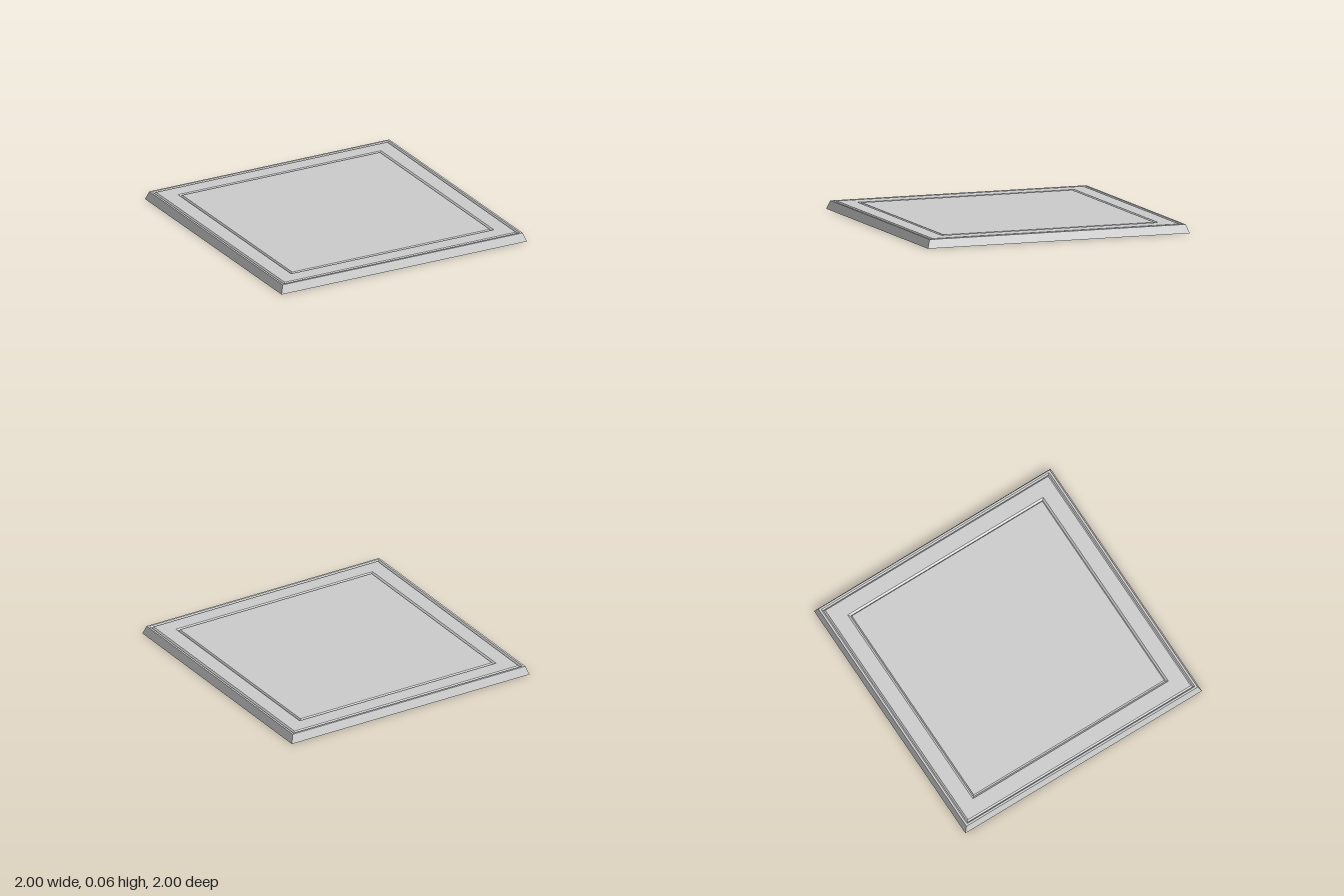
import * as THREE from 'three';

const material = new THREE.MeshStandardMaterial({
  color: 0xcccccc, flatShading: true, side: THREE.DoubleSide,
});

// Mitred square frame swept from a profile of [half width, height], outside to inside
function squareFrame(name, profile) {
  const corners = [[1, 1], [1, -1], [-1, -1], [-1, 1]];
  const positions = [];
  const point = ([x, z], [half, y]) => [x * half, y, z * half];
  for (let i = 0; i < profile.length - 1; i++) {
    for (let k = 0; k < 4; k++) {
      const a = point(corners[k], profile[i]);
      const b = point(corners[(k + 1) % 4], profile[i]);
      const c = point(corners[(k + 1) % 4], profile[i + 1]);
      const d = point(corners[k], profile[i + 1]);
      positions.push(...a, ...b, ...c, ...a, ...c, ...d);
    }
  }
  const geometry = new THREE.BufferGeometry();
  geometry.setAttribute('position', new THREE.Float32BufferAttribute(positions, 3));
  geometry.computeVertexNormals();
  const mesh = new THREE.Mesh(geometry, material);
  mesh.name = name;
  return mesh;
}

export function createModel() {
  const group = new THREE.Group();
  group.name = 'floorTile';
  const top = 0.062;
  const grooveDepth = 0.011;

  // Sloping sides, open underneath
  group.add(squareFrame('bevelledSkirt', [[1, 0], [0.978, top]]));

  // Flat rim, outer groove, border, inner groove
  group.add(squareFrame('rim', [[0.978, top], [0.963, top]]));
  group.add(squareFrame('outerGroove', [[0.963, top], [0.953, top - grooveDepth], [0.942, top]]));
  group.add(squareFrame('border', [[0.942, top], [0.827, top]]));
  group.add(squareFrame('innerGroove', [[0.827, top], [0.813, top - grooveDepth], [0.805, top]]));

  // Central panel
  const panel = new THREE.Mesh(new THREE.PlaneGeometry(1.61, 1.61).rotateX(-Math.PI / 2), material);
  panel.position.y = top;
  panel.name = 'centrePanel';
  group.add(panel);

  return group;
}
